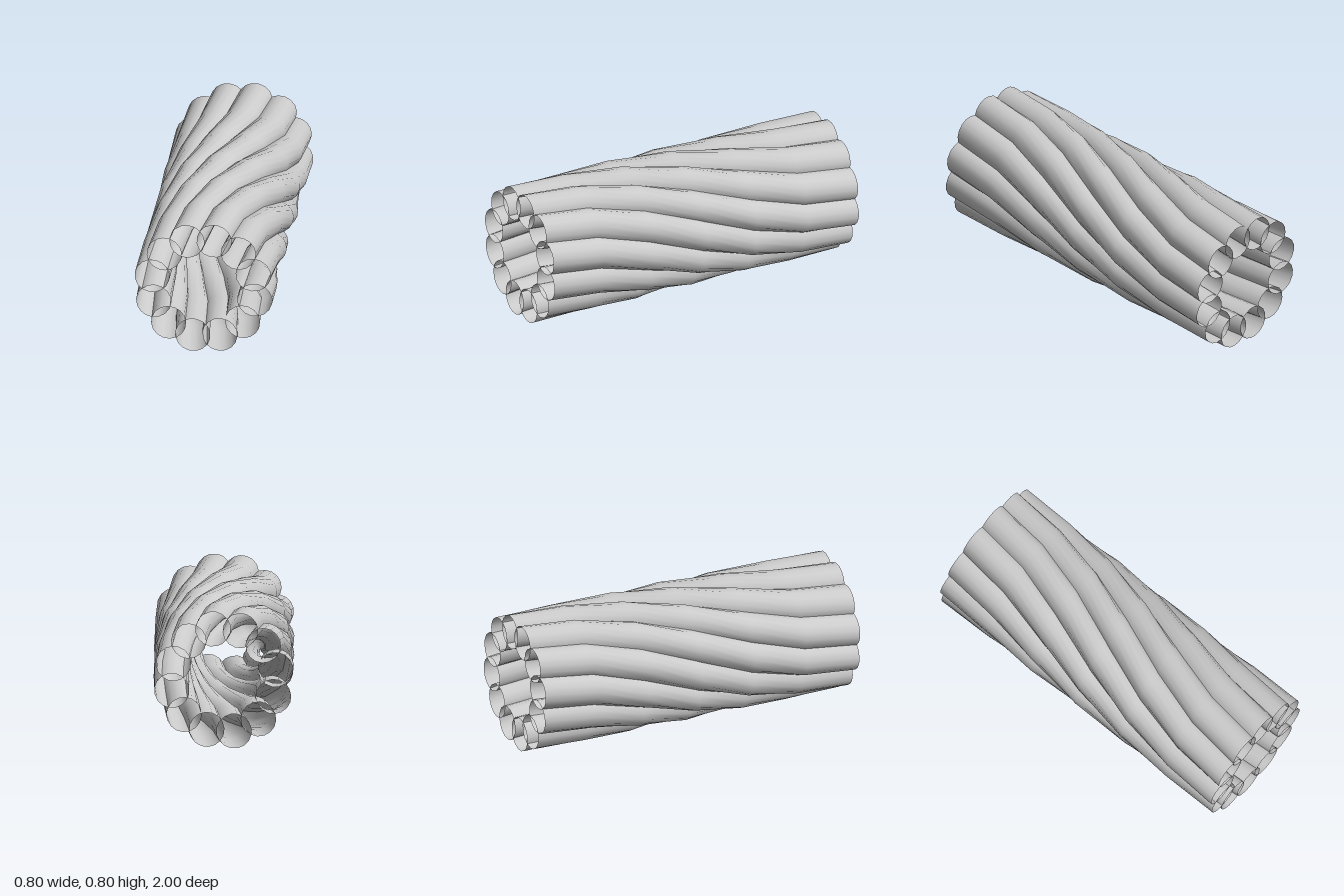
import * as THREE from 'three';
import { mergeVertices } from 'three/addons/utils/BufferGeometryUtils.js';

const STRANDS = 12, RING_RADIUS = 0.3, STRAND_RADIUS = 0.1, LENGTH = 2;
const TWIST = Math.PI / 2;
const START = THREE.MathUtils.degToRad(18.4);

// An open tube parallel to z, wound about the z axis with an eased twist
function strandGeometry(angle) {
  const tube = new THREE.CylinderGeometry(STRAND_RADIUS, STRAND_RADIUS, LENGTH, 16, 6, true);
  tube.rotateX(Math.PI / 2);
  tube.translate(RING_RADIUS, 0, 0);
  tube.deleteAttribute('uv');
  tube.deleteAttribute('normal');
  const geometry = mergeVertices(tube, 1e-4);
  const pos = geometry.attributes.position;
  const p = new THREE.Vector3();
  const axis = new THREE.Vector3(0, 0, 1);
  for (let i = 0; i < pos.count; i++) {
    p.fromBufferAttribute(pos, i);
    const turn = THREE.MathUtils.smoothstep(1 - p.z, 0, LENGTH);
    p.applyAxisAngle(axis, angle - TWIST * turn);
    pos.setXYZ(i, p.x, p.y, p.z);
  }
  geometry.computeVertexNormals();
  return geometry;
}

export function createModel() {
  const model = new THREE.Group();
  model.name = 'twistedTubeBundle';
  const material = new THREE.MeshStandardMaterial({ color: 0xcccccc, side: THREE.DoubleSide });

  // Ring of overlapping strands around a hollow core
  for (let i = 0; i < STRANDS; i++) {
    const strand = new THREE.Mesh(strandGeometry(START + (i / STRANDS) * Math.PI * 2), material);
    strand.name = `strand${i + 1}`;
    strand.position.y = RING_RADIUS + STRAND_RADIUS;
    model.add(strand);
  }
  return model;
}
